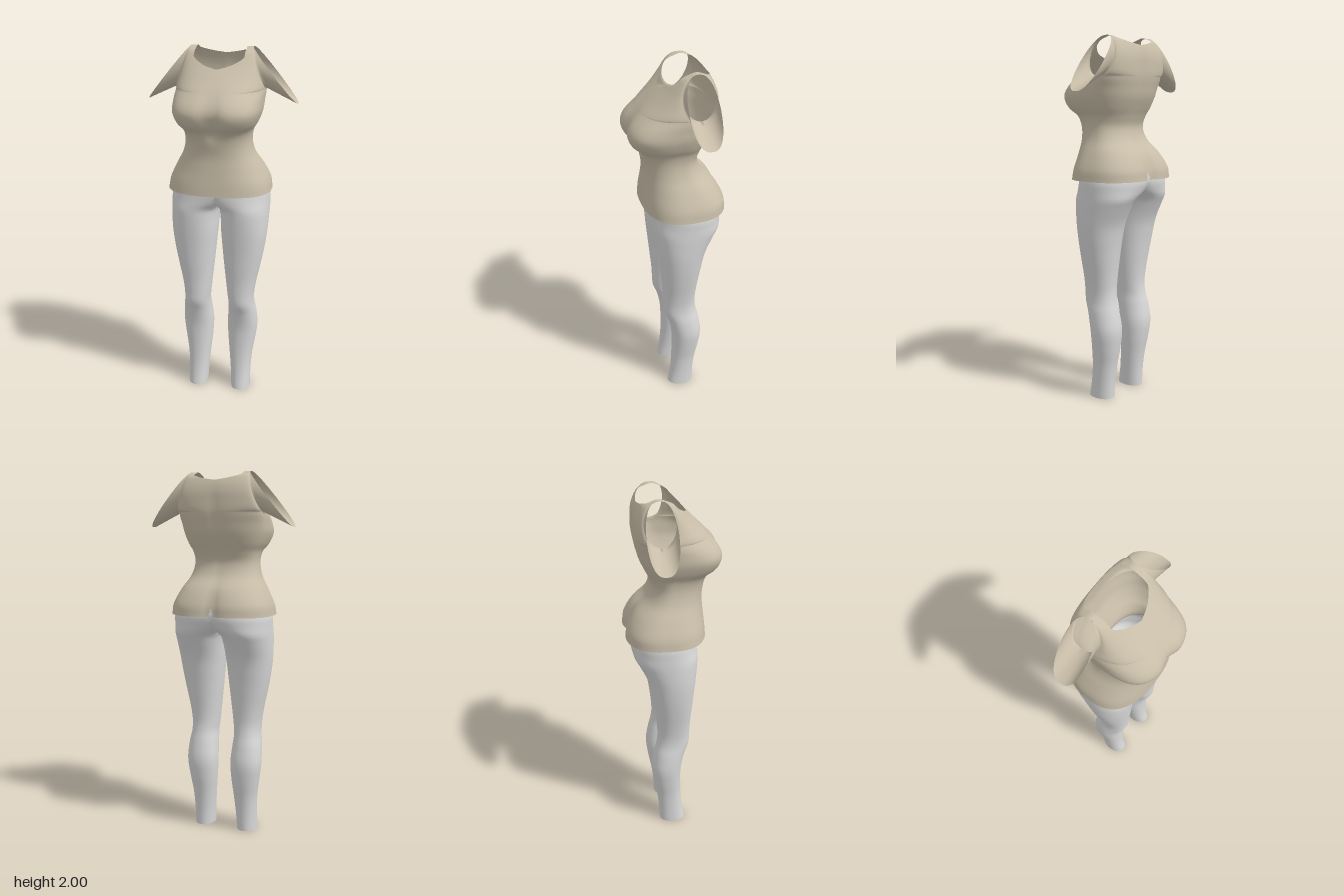
import * as THREE from 'three';
import { mergeVertices } from 'three/addons/utils/BufferGeometryUtils.js';

// Smooth interpolation through table rows; the first entry of a row is its height.
function sample(table, y) {
  let i = 0;
  while (i < table.length - 2 && y > table[i + 1][0]) i++;
  const a = table[i], b = table[i + 1], h = b[0] - a[0];
  const t = Math.min(1, Math.max(0, (y - a[0]) / h));
  const p = table[Math.max(0, i - 1)], q = table[Math.min(table.length - 1, i + 2)];
  return a.map((v, k) => {
    const m0 = (b[k] - p[k]) / (b[0] - p[0]) * h, m1 = (q[k] - v) / (q[0] - a[0]) * h;
    const t2 = t * t, t3 = t2 * t;
    return v * (2 * t3 - 3 * t2 + 1) + m0 * (t3 - 2 * t2 + t) + b[k] * (3 * t2 - 2 * t3) + m1 * (t3 - t2);
  });
}

// Adds a grid of points and its mirror image to a triangle list.
function addGrid(out, rows, flip) {
  const tri = (a, b, c) => {
    if (Math.max(a[0], b[0], c[0]) < 1e-6) return; // nothing inside the mirror plane
    const [p, q] = flip ? [c, b] : [b, c];
    out.push(...a, ...p, ...q);
    for (const v of [a, q, p]) out.push(-v[0], v[1], v[2]);
  };
  for (let i = 0; i < rows.length - 1; i++) {
    for (let j = 0; j < rows[i].length - 1; j++) {
      const a = rows[i][j], b = rows[i][j + 1], c = rows[i + 1][j], d = rows[i + 1][j + 1];
      tri(a, b, d);
      tri(a, d, c);
    }
  }
}

function smoothMesh(out, material, name) {
  let g = new THREE.BufferGeometry();
  g.setAttribute('position', new THREE.Float32BufferAttribute(out, 3));
  g = mergeVertices(g, 1e-4);
  g.computeVertexNormals();
  const mesh = new THREE.Mesh(g, material);
  mesh.name = name;
  return mesh;
}

const pow = (v, e) => Math.sign(v) * Math.pow(Math.abs(v), e);

// Shirt: height, half width, side z, front z, back z, front and back roundness, front and back dip
const SHIRT = [
  [1.24, 0.285, -0.03, 0.185, -0.26, 0.8, 0.75, 0, 0.035],
  [1.30, 0.274, -0.04, 0.18, -0.25, 0.8, 0.75, 0, 0.032],
  [1.38, 0.236, -0.03, 0.172, -0.205, 0.85, 0.8, 0, 0.02],
  [1.45, 0.197, -0.01, 0.168, -0.137, 0.85, 0.85, 0, 0.008],
  [1.52, 0.18, 0, 0.178, -0.112, 0.85, 0.85, 0, 0.006],
  [1.58, 0.187, 0, 0.2, -0.13, 0.78, 0.8, 0.015, 0.008],
  [1.62, 0.21, 0, 0.242, -0.15, 0.66, 0.8, 0.032, 0.01],
  [1.68, 0.232, 0, 0.263, -0.176, 0.62, 0.8, 0.026, 0.01],
  [1.73, 0.236, -0.03, 0.246, -0.187, 0.66, 0.8, 0.018, 0.01],
  [1.79, 0.237, -0.075, 0.192, -0.197, 0.8, 0.8, 0.006, 0.01],
  [1.85, 0.217, -0.075, 0.13, -0.196, 0.9, 0.85, 0, 0.008],
  [1.90, 0.2, -0.075, 0.08, -0.19, 0.95, 0.9, 0, 0.004],
  [1.95, 0.186, -0.075, 0.034, -0.172, 1, 1, 0, 0],
  [1.98, 0.177, -0.075, 0.0, -0.147, 1, 1, 0, 0],
  [2.00, 0.17, -0.075, -0.075, -0.075, 1, 1, 0, 0],
];
const ARM = { y: 1.895, ry: 0.105, z: -0.075, rz: 0.08 };

// One half row of the front (side 1) or back (side -1), from the centre or neckline outwards.
function shirtRow(y, side, armDepth) {
  const r = sample(SHIRT, y), front = side > 0, W = r[1];
  const zs = armDepth === null ? r[2] : ARM.z + side * armDepth;
  const zc = front ? Math.max(r[3], zs) : Math.min(r[4], zs);
  const e = front ? r[5] : r[6];
  const neck = front ? (y - 1.9) / 0.05 : (y - 1.957) / 0.025;
  const xin = 0.135 * Math.sqrt(Math.min(1, Math.max(0, neck)));
  const a0 = Math.asin(Math.min(1, Math.pow(xin / W, 1 / e)));
  const row = [];
  for (let j = 0; j <= 22; j++) {
    const a = a0 + (Math.PI / 2 - a0) * j / 22;
    const x = W * pow(Math.sin(a), e);
    const c = j === 22 ? 0 : Math.pow(Math.cos(a), e);
    const dip = front ? r[7] * Math.exp(-((x / 0.045) ** 2)) : -r[8] * Math.exp(-x / 0.05);
    row.push([x, y, zs + (zc - zs) * c - dip * c]);
  }
  return row;
}

function makeShirt(material) {
  const out = [], N = 32;
  for (const side of [1, -1]) {
    const rows = [], sleeve = [];
    // body from hem to armpit
    for (let i = 0; i < 44; i++) rows.push(shirtRow(1.24 + 0.55 * i / 44, side, null));
    // chest and back panels beside the armholes, with the slanted cap sleeves
    for (let i = 0; i <= N; i++) {
      const phi = Math.PI * i / N, s = i === N ? 0 : Math.sin(phi);
      const row = shirtRow(ARM.y - ARM.ry * Math.cos(phi), side, ARM.rz * s);
      rows.push(row);
      const inner = row[row.length - 1], k = (1 + Math.cos(phi)) / 2;
      const rim = [0.17 + 0.24 * k, 2 - 0.29 * k, ARM.z + side * 0.079 * Math.pow(s, 0.75)];
      const line = [];
      for (let j = 0; j <= 6; j++) line.push(inner.map((v, n) => v + (rim[n] - v) * j / 6));
      sleeve.push(line);
    }
    addGrid(out, rows, side < 0);
    addGrid(out, sleeve, side < 0);
  }
  return smoothMesh(out, material, 'shirt');
}

// Leg: height, inner x, outer x, front z, back z
const LEG = [
  [0, 0.075, 0.185, 0.07, -0.08],
  [0.1, 0.069, 0.186, 0.053, -0.085],
  [0.2, 0.06, 0.192, 0.045, -0.097],
  [0.3, 0.05, 0.207, 0.043, -0.115],
  [0.4, 0.045, 0.219, 0.047, -0.125],
  [0.5, 0.052, 0.213, 0.068, -0.11],
  [0.56, 0.056, 0.204, 0.09, -0.096],
  [0.62, 0.05, 0.204, 0.094, -0.089],
  [0.7, 0.041, 0.216, 0.097, -0.093],
  [0.8, 0.03, 0.237, 0.105, -0.105],
  [0.9, 0.02, 0.256, 0.113, -0.12],
  [1.0, 0.011, 0.269, 0.122, -0.142],
  [1.1, 0.003, 0.275, 0.129, -0.188],
  [1.14, -0.012, 0.276, 0.13, -0.21],
  [1.18, -0.09, 0.276, 0.131, -0.222],
  [1.24, -0.18, 0.274, 0.132, -0.232],
  [1.34, -0.22, 0.238, 0.135, -0.205],
];

// Leggings: each leg ring swells past the middle above the crotch and is trimmed there.
function makeLeggings(material) {
  const out = [], rows = [];
  for (let i = 0; i <= 80; i++) {
    const y = 1.34 * i / 80, [, xi, xo, zf, zb] = sample(LEG, y), row = [];
    for (let j = 0; j <= 56; j++) {
      const a = Math.PI * 2 * (j % 56) / 56;
      const x = (xi + xo) / 2 + (xo - xi) / 2 * pow(Math.sin(a), 0.92);
      row.push([Math.max(0, x), y, (zf + zb) / 2 + (zf - zb) / 2 * pow(Math.cos(a), 0.92)]);
    }
    rows.push(row);
  }
  addGrid(out, rows, false);
  return smoothMesh(out, material, 'leggings');
}

export function createModel() {
  const shirtFabric = new THREE.MeshStandardMaterial({ color: 0xc8bda8, side: THREE.DoubleSide });
  shirtFabric.name = 'beige fabric';
  const legFabric = new THREE.MeshStandardMaterial({ color: 0xd9d9d9, side: THREE.DoubleSide });
  legFabric.name = 'light grey fabric';
  const group = new THREE.Group();
  group.name = 'outfit';
  group.add(makeShirt(shirtFabric), makeLeggings(legFabric));
  return group;
}
